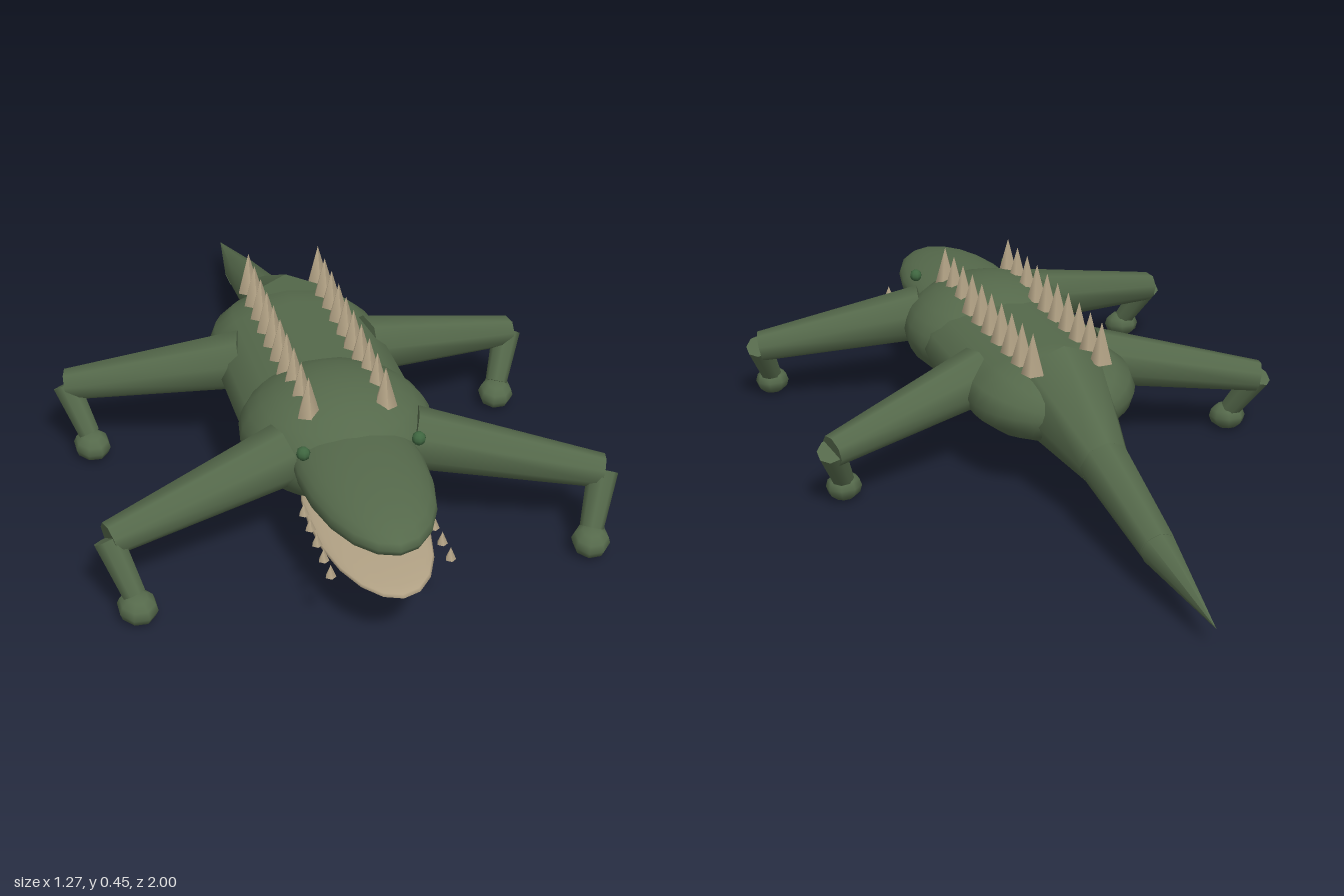
import * as THREE from 'three';

export function createModel() {
  const model = new THREE.Group();
  model.name = 'reptile';
  const material = (name, color) => {
    const m = new THREE.MeshStandardMaterial({ color });
    m.name = name;
    return m;
  };
  const hide = material('green hide', 0x55694b);
  const bone = material('tan bone', 0xb2a285);
  const eyeGreen = material('eye green', 0x3f6640);

  const add = (name, geometry, mat, x = 0, y = 0, z = 0) => {
    const mesh = new THREE.Mesh(geometry, mat);
    mesh.name = name;
    mesh.position.set(x, y, z);
    model.add(mesh);
    return mesh;
  };
  const ellipsoid = (name, mat, pos, radii, w = 20, h = 14) =>
    add(name, new THREE.SphereGeometry(1, w, h).scale(...radii), mat, ...pos);

  // Tapered cylinder between two points
  const limb = (name, from, to, r0, r1, sides = 8) => {
    const a = new THREE.Vector3(...from), b = new THREE.Vector3(...to);
    const dir = b.clone().sub(a), mid = a.clone().add(b).multiplyScalar(0.5);
    const mesh = add(name, new THREE.CylinderGeometry(r1, r0, dir.length(), sides), hide, mid.x, mid.y, mid.z);
    mesh.quaternion.setFromUnitVectors(new THREE.Vector3(0, 1, 0), dir.normalize());
    return mesh;
  };

  // Torso and chest
  const torso = new THREE.CapsuleGeometry(0.225, 0.32, 8, 16);
  torso.rotateX(Math.PI / 2).scale(1, 0.53, 1);
  add('torso', torso, hide, 0, 0.247, 0.135);
  ellipsoid('chest', hide, [0, 0.25, 0.41], [0.24, 0.143, 0.24]);

  // Head, lower jaw and eyes
  ellipsoid('head', hide, [0, 0.27, 0.635], [0.155, 0.068, 0.335]);
  ellipsoid('lowerJaw', bone, [0, 0.166, 0.68], [0.137, 0.022, 0.32]);

  // Three tapering tail sections
  limb('tailBase', [0, 0.264, -0.09], [0, 0.19, -0.385], 0.14, 0.066);
  limb('tailMiddle', [0, 0.19, -0.385], [0, 0.115, -0.7], 0.066, 0.046);
  limb('tailTip', [0, 0.115, -0.695], [0, 0.067, -1], 0.047, 0);

  for (const s of [1, -1]) {
    ellipsoid('eye', eyeGreen, [s * 0.139, 0.337, 0.635], [0.017, 0.017, 0.017], 8, 6);

    // Row of back spikes
    for (let i = 0; i < 10; i++)
      add('backSpike', new THREE.ConeGeometry(0.031, 0.11, 5), bone, s * 0.094, 0.405, 0.504 - i * 0.0725);

    // Teeth along the jaw
    for (let i = 0; i < 5; i++)
      add('tooth', new THREE.ConeGeometry(0.013, 0.032, 5), bone, s * 0.14, 0.191, 0.895 - i * 0.062);

    // Legs: front pair sweeps forward, rear pair sweeps back
    for (const [label, rootZ, kneeZ] of [['front', 0.525, 0.652], ['rear', 0.065, -0.057]]) {
      limb(label + 'UpperLeg', [s * 0.16, 0.27, rootZ], [s * 0.6, 0.186, kneeZ], 0.077, 0.042);
      limb(label + 'LowerLeg', [s * 0.603, 0.187, kneeZ], [s * 0.558, 0.07, kneeZ + 0.065], 0.037, 0.029);
      const foot = ellipsoid(label + 'Foot', hide, [s * 0.553, 0.042, kneeZ + 0.077], [0.047, 0.037, 0.052], 8, 6);
      foot.rotation.set(0.15, s * -0.4, 0);
    }
  }
  return model;
}
